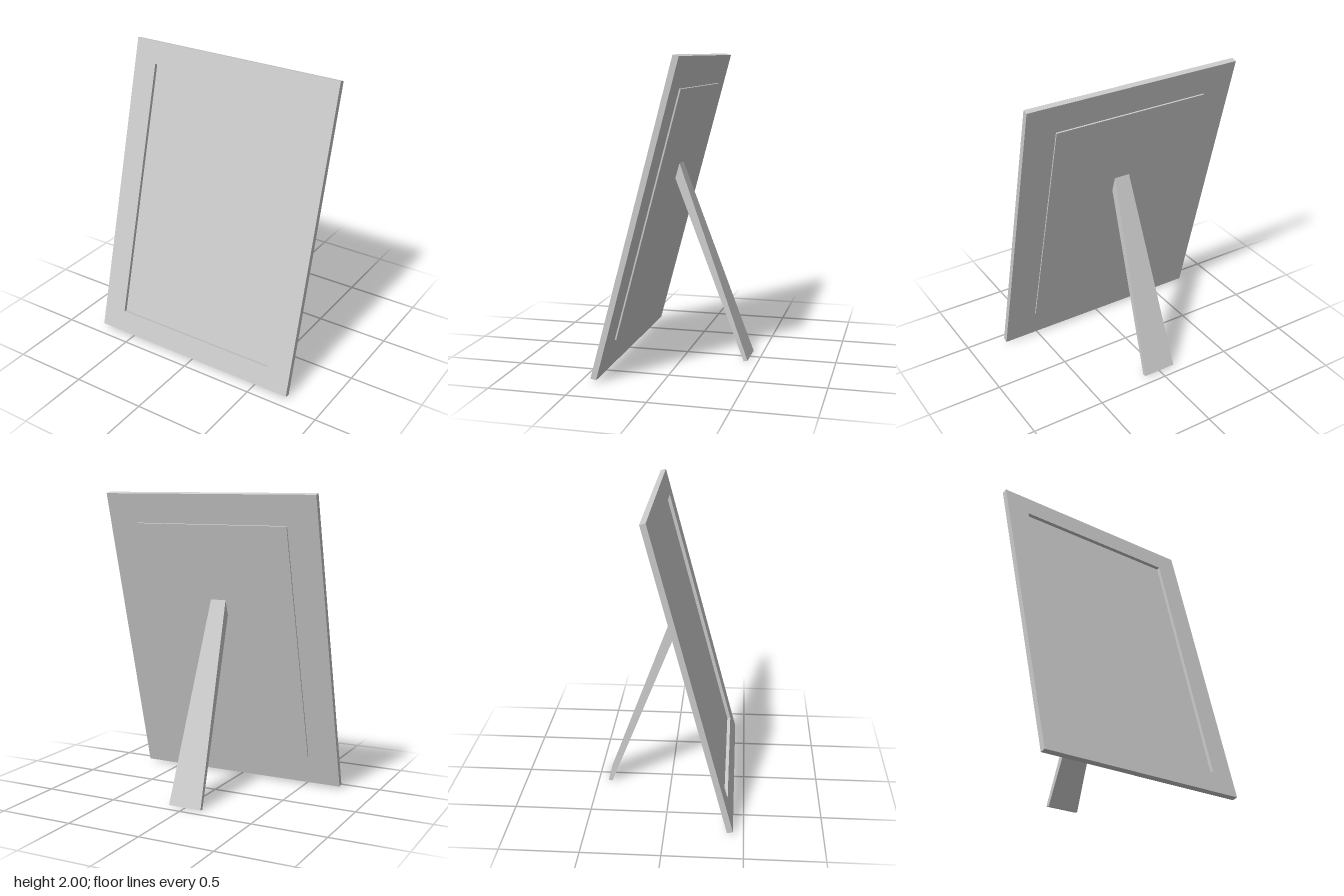
import * as THREE from 'three';
import { ConvexGeometry } from 'three/addons/geometries/ConvexGeometry.js';

const material = new THREE.MeshStandardMaterial({ color: 0xcccccc, flatShading: true });

const WIDTH = 1.498, HEIGHT = 2.045, DEPTH = 0.038; // frame
const BORDER_X = 0.163, BORDER_Y = 0.148, RECESS = 0.023;

function addPart(parent, name, geometry) {
  const mesh = new THREE.Mesh(geometry, material);
  mesh.name = name;
  parent.add(mesh);
  return mesh;
}

// Rectangle outline centred on x, between two heights
function rectangle(PathType, halfWidth, y0, y1) {
  return new PathType([
    [-halfWidth, y0], [halfWidth, y0], [halfWidth, y1], [-halfWidth, y1],
  ].map(([x, y]) => new THREE.Vector2(x, y)));
}

export function createModel() {
  const model = new THREE.Group();
  model.name = 'pictureFrame';

  // Leaning panel: local origin on the lower front edge, front face at z = 0
  const panel = new THREE.Group();
  panel.name = 'leaningPanel';
  panel.position.set(0, 0.025, 0.433);
  panel.rotation.x = -THREE.MathUtils.degToRad(15);
  model.add(panel);

  // Frame border with its opening
  const outline = rectangle(THREE.Shape, WIDTH / 2, 0, HEIGHT);
  outline.holes.push(rectangle(THREE.Path, WIDTH / 2 - BORDER_X, BORDER_Y, HEIGHT - BORDER_Y));
  const border = new THREE.ExtrudeGeometry(outline, { depth: DEPTH, bevelEnabled: false });
  addPart(panel, 'frameBorder', border.translate(0, 0, -DEPTH));

  // Recessed picture filling the opening
  addPart(panel, 'picture', new THREE.BoxGeometry(
    WIDTH - 2 * BORDER_X, HEIGHT - 2 * BORDER_Y, DEPTH - RECESS,
  )).position.set(0, HEIGHT / 2, -(DEPTH + RECESS) / 2);

  // Raised backing board
  addPart(panel, 'backingBoard', new THREE.BoxGeometry(1.078, 1.635, 0.01))
    .position.set(0, 1.027, -DEPTH - 0.005);

  // Easel leg: widens downwards, its top cut flush with the backing board
  const legProfile = [ // half width, y, z
    [0.054, 1.297, 0.044], [0.058, 1.196, 0.071],
    [0.115, 0, -0.407], [0.115, 0.004, -0.433],
  ];
  const legPoints = legProfile.flatMap(([w, y, z]) =>
    [-1, 1].map((side) => new THREE.Vector3(side * w, y, z)));
  addPart(model, 'easelLeg', new ConvexGeometry(legPoints));

  return model;
}
